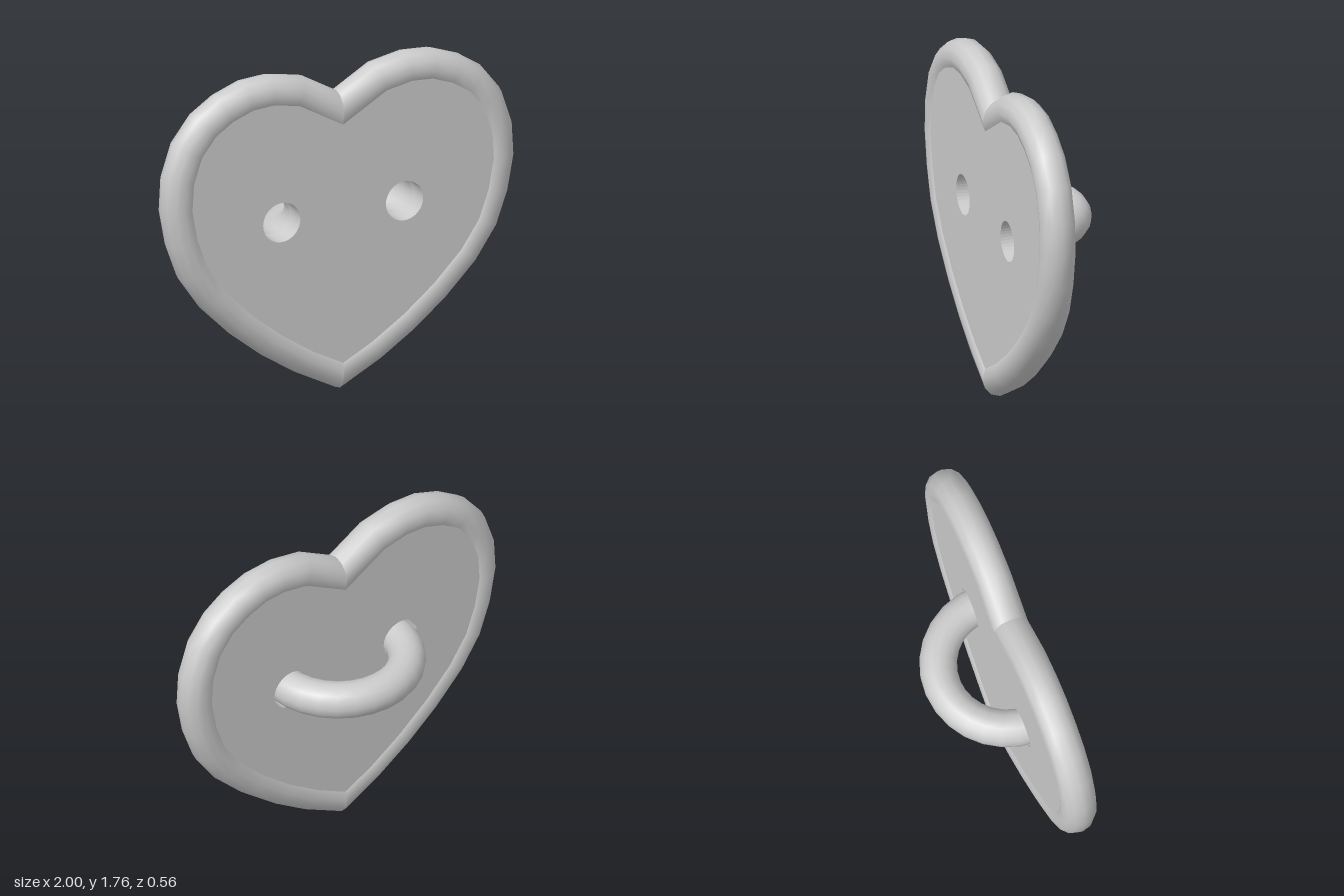
import * as THREE from 'three';

const RIM_R = 0.093;   // radius of the rounded rim
const RIM_Z = 0.187;   // mid plane of the plate
const HALF = 0.08;     // half thickness of the plate
const HOLE_X = 0.35, HOLE_Y = 0.977;

// Right half of the heart outline, from bottom tip to top notch
const RIGHT = [
  [0, 0], [0.24, 0.125], [0.43, 0.25], [0.61, 0.395], [0.78, 0.565], [0.9, 0.74],
  [0.965, 0.92], [1, 1.11], [0.99, 1.29], [0.93, 1.47], [0.82, 1.61], [0.69, 1.695],
  [0.54, 1.75], [0.385, 1.76], [0.2, 1.725], [0, 1.61],
].map(([x, y]) => new THREE.Vector2(x, y));

// Whole outline, counter-clockwise
const LEFT = RIGHT.slice(1, -1).reverse().map((p) => new THREE.Vector2(-p.x, p.y));
const OUTLINE = [...RIGHT, ...LEFT];

// Mitred inward direction at each outline point
const MITRES = OUTLINE.map((p, i) => {
  const n = OUTLINE.length;
  const normal = (a, b) => new THREE.Vector2(a.y - b.y, b.x - a.x).normalize();
  const n1 = normal(OUTLINE[(i + n - 1) % n], p);
  const n2 = normal(p, OUTLINE[(i + 1) % n]);
  return n1.clone().add(n2).divideScalar(1 + n1.dot(n2));
});

const inset = (i, d) => OUTLINE[i].clone().addScaledVector(MITRES[i], d);

// Round bead along half the outline; separate halves keep tip and notch sharp
function rimHalf(start) {
  const count = RIGHT.length, sides = 12;
  const pos = [], index = [];
  for (let i = 0; i < count; i++) {
    const id = (start + i) % OUTLINE.length;
    for (let k = 0; k < sides; k++) {
      const t = (k / sides) * Math.PI * 2;
      const p = inset(id, RIM_R * (1 - Math.cos(t)));
      pos.push(p.x, p.y, RIM_Z + RIM_R * Math.sin(t));
      if (i === count - 1) continue;
      const a = i * sides + k, d = i * sides + (k + 1) % sides;
      index.push(a, a + sides, d, a + sides, d + sides, d);
    }
  }
  const geo = new THREE.BufferGeometry();
  geo.setAttribute('position', new THREE.Float32BufferAttribute(pos, 3));
  geo.setIndex(index);
  geo.computeVertexNormals();
  return geo;
}

export function createModel() {
  const group = new THREE.Group();
  const material = new THREE.MeshStandardMaterial({ color: 0xcccccc, side: THREE.DoubleSide });
  const add = (name, geo) => {
    const mesh = new THREE.Mesh(geo, material);
    mesh.name = name;
    group.add(mesh);
    return mesh;
  };

  // Rounded rim
  add('rimLeft', rimHalf(0));
  add('rimRight', rimHalf(RIGHT.length - 1));

  // Heart plate with two through holes
  const shape = new THREE.Shape(OUTLINE.map((_, i) => inset(i, 0.11)));
  for (const s of [-1, 1]) {
    shape.holes.push(new THREE.Path().absarc(s * HOLE_X, HOLE_Y, 0.106, 0, Math.PI * 2, true));
  }
  const plate = new THREE.ExtrudeGeometry(shape, {
    depth: HALF * 2, bevelEnabled: false, curveSegments: 20,
  });
  add('heartPlate', plate).position.z = RIM_Z - HALF;

  // Hollow shank loop at the back, open ends sitting in the holes
  const loop = new THREE.TorusGeometry(0.35, 0.096, 16, 14, Math.PI);
  loop.rotateX(-Math.PI / 2);
  add('shankLoop', loop).position.set(0, HOLE_Y, 0.166);

  return group;
}
